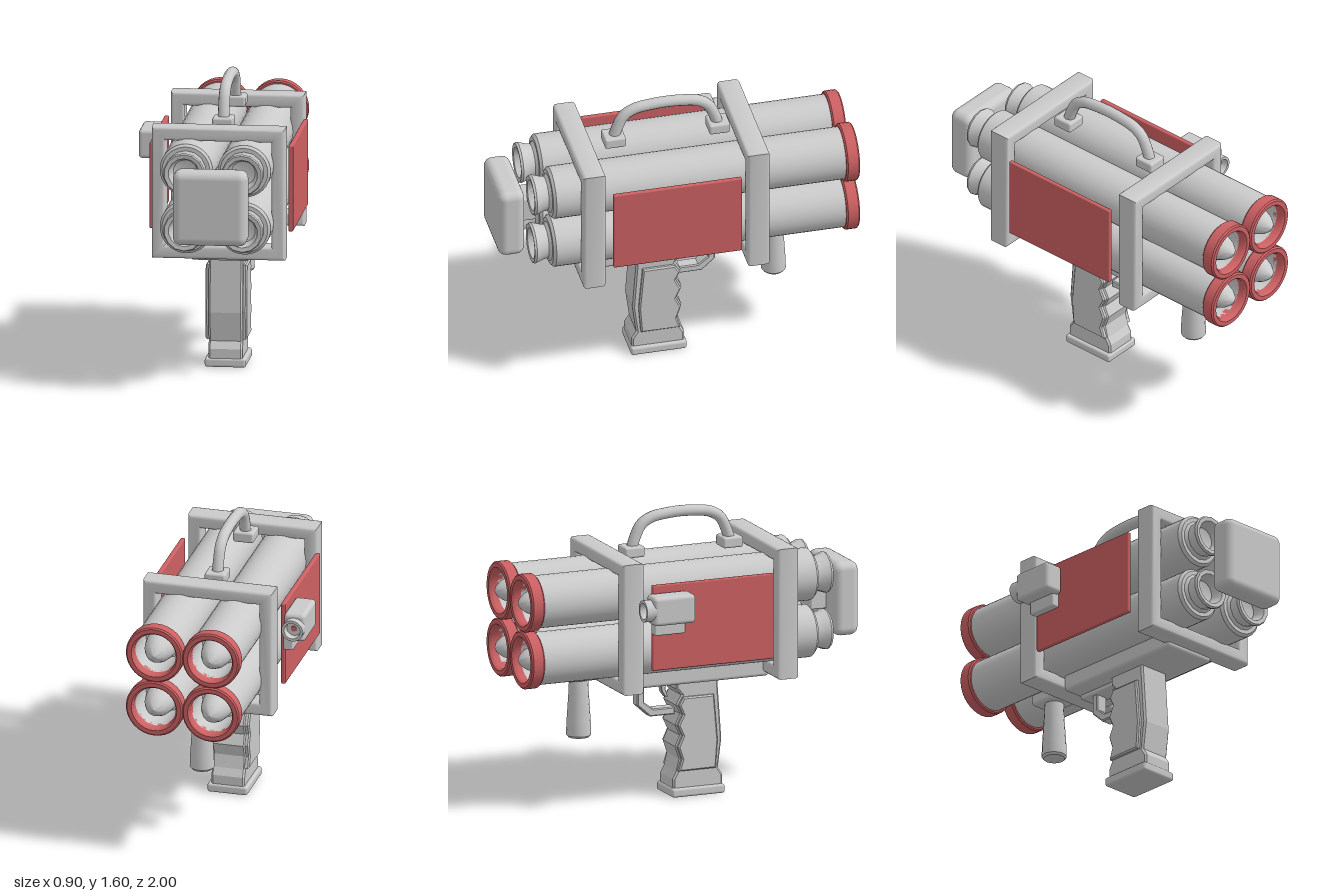
import * as THREE from 'three';
import { toCreasedNormals } from 'three/addons/utils/BufferGeometryUtils.js';
import { RoundedBoxGeometry } from 'three/addons/geometries/RoundedBoxGeometry.js';

const CX = 0.057; // centre line of the body
const CY = 1.028; // mid height of the four tubes

export function createModel() {
  const grey = new THREE.MeshStandardMaterial({ color: 0xcacaca });
  grey.name = 'lightGrey';
  const red = new THREE.MeshStandardMaterial({ color: 0xcc6062 });
  red.name = 'softRed';

  const model = new THREE.Group();
  model.name = 'launcher';

  const add = (name, geometry, material = grey, parent = model) => {
    const mesh = new THREE.Mesh(geometry, material);
    mesh.name = name;
    parent.add(mesh);
    return mesh;
  };

  // Rounded box from its minimum and maximum corners
  const box = (name, x, y, z, radius, material = grey) => {
    const g = new RoundedBoxGeometry(x[1] - x[0], y[1] - y[0], z[1] - z[0], 3, radius);
    g.translate((x[0] + x[1]) / 2, (y[0] + y[1]) / 2, (z[0] + z[1]) / 2);
    return add(name, g, material);
  };

  // Turned part along z from [radius, z] pairs
  const turned = (profile, sides) => {
    const g = new THREE.LatheGeometry(profile.map(([r, z]) => new THREE.Vector2(r, z)), sides);
    return toCreasedNormals(g.rotateX(Math.PI / 2), 0.6);
  };

  // Side outline of [-z, y] pairs, extruded across x around the centre line
  const sidePlate = (name, outline, width, bevel) => {
    const g = new THREE.ExtrudeGeometry(
      new THREE.Shape(outline.map(([a, y]) => new THREE.Vector2(a, y))),
      { depth: width - 2 * bevel, bevelEnabled: bevel > 0, bevelSize: bevel, bevelThickness: bevel,
        bevelOffset: -bevel, bevelSegments: 1 });
    g.translate(0, 0, bevel - width / 2).rotateY(Math.PI / 2).translate(CX, 0, 0);
    return add(name, g);
  };

  // Four tubes with flared nozzles, muzzle rings and rockets
  const tube = turned([[0, -0.72], [0.118, -0.72], [0.118, -0.93], [0.144, -0.93],
    [0.144, 0.705], [0.13, 0.72], [0, 0.72]], 32);
  const nozzle = turned([[0.115, 0.715], [0.094, 0.735], [0.1, 0.765], [0.114, 0.805],
    [0.108, 0.818], [0.085, 0.815], [0.066, 0.75], [0, 0.73]], 14);
  const ring = turned([[0.118, -0.905], [0.118, -0.965], [0.128, -0.98], [0.152, -0.98],
    [0.16, -0.972], [0.16, -0.913], [0.152, -0.905], [0.118, -0.905]], 32);
  const rocket = turned([[0, -1], [0.03, -0.982], [0.055, -0.95], [0.075, -0.9],
    [0.085, -0.84], [0.085, -0.715]], 24);
  for (const sx of [-1, 1]) for (const sy of [-1, 1]) {
    const barrel = new THREE.Group();
    barrel.name = 'barrel';
    barrel.position.set(CX + sx * 0.158, CY + sy * 0.158, 0);
    add('tube', tube, grey, barrel);
    add('nozzle', nozzle, grey, barrel);
    add('muzzleRing', ring, red, barrel);
    add('rocket', rocket, grey, barrel);
    model.add(barrel);
  }

  // Square frames that hold the tubes
  const square = (h, T) => new T([[-h, -h], [h, -h], [h, h], [-h, h]].map(([x, y]) => new THREE.Vector2(x, y)));
  const frameShape = square(0.363, THREE.Shape);
  frameShape.holes.push(square(0.288, THREE.Path));
  for (const z of [0.508, -0.405]) {
    const g = new THREE.ExtrudeGeometry(frameShape, {
      depth: 0.09, bevelSize: 0.018, bevelThickness: 0.018, bevelOffset: -0.018, bevelSegments: 3 });
    g.translate(CX, CY, z - 0.045);
    add('frame', toCreasedNormals(g, 0.7));
  }

  // Side panels
  for (const x of [-0.323, 0.434]) {
    box('sidePanel', [x - 0.013, x + 0.013], [0.795, 1.27], [-0.305, 0.41], 0.008, red);
  }

  // Front block and its stem
  box('frontBlock', [-0.145, 0.26], [0.825, 1.235], [0.855, 1], 0.045);
  box('frontStem', [-0.018, 0.13], [0.96, 1.1], [0.765, 0.87], 0.008);

  // Carrying handle
  const points = [[0.318, 1.38], [0.295, 1.45], [0.26, 1.515], [0.2, 1.55], [0.12, 1.563], [0.028, 1.568]];
  const path = points.concat(points.slice(0, -1).reverse().map(([z, y]) => [0.056 - z, y]));
  const curve = new THREE.CatmullRomCurve3(path.map(([z, y]) => new THREE.Vector3(CX, y, z)));
  add('carryHandle', new THREE.TubeGeometry(curve, 28, 0.031, 12));
  for (const z of [0.318, -0.262]) {
    box('handleFoot', [0, 0.115], [1.345, 1.405], [z - 0.058, z + 0.058], 0.012);
  }

  // Underside rail and pistol grip
  box('bottomRail', [-0.105, 0.22], [0.64, 0.765], [-0.33, 0.485], 0.02);
  sidePlate('grip', [[-0.238, 0.04], [0.055, 0.04], [0.055, 0.1], [0.033, 0.14], [0.016, 0.21],
    [0.04, 0.28], [0.012, 0.34], [0.04, 0.4], [0.01, 0.46], [0.035, 0.51], [0.004, 0.565],
    [0.035, 0.6], [0.035, 0.66], [-0.207, 0.66], [-0.233, 0.3], [-0.212, 0.14], [-0.238, 0.1]], 0.186, 0.01);
  sidePlate('gripPanels', [[-0.19, 0.145], [0.028, 0.145], [0.008, 0.21], [0.032, 0.28], [0.004, 0.34],
    [0.032, 0.4], [0.002, 0.46], [0.026, 0.51], [0, 0.555], [-0.18, 0.555], [-0.202, 0.3]], 0.226, 0.008);
  box('gripBase', [-0.055, 0.17], [0, 0.05], [-0.065, 0.245], 0.014);

  // Trigger and guard
  box('guardPlate', [0, 0.114], [0.618, 0.655], [-0.31, -0.06], 0.008);
  sidePlate('triggerGuard', [[0.02, 0.447], [0.165, 0.447], [0.24, 0.515], [0.24, 0.63],
    [0.2, 0.63], [0.2, 0.53], [0.145, 0.488], [0.02, 0.488]], 0.07, 0.006);
  sidePlate('trigger', [[0.052, 0.545], [0.07, 0.545], [0.09, 0.575], [0.098, 0.63],
    [0.06, 0.63], [0.068, 0.59]], 0.04, 0.004);

  // Forward grip under the muzzle end
  box('foregripMount', [-0.025, 0.139], [0.692, 0.8], [-0.67, -0.475], 0.02);
  const handGrip = new THREE.LatheGeometry([[0, 0.37], [0.058, 0.37], [0.068, 0.382], [0.066, 0.45],
    [0.055, 0.62], [0.052, 0.7]].map(([r, y]) => new THREE.Vector2(r, y)), 16);
  add('foregrip', toCreasedNormals(handGrip.translate(CX, 0, -0.572), 0.6));

  // Sight on the right side
  box('sightBody', [-0.455, -0.337], [1.07, 1.23], [-0.345, -0.1], 0.022);
  box('sightMount', [-0.38, -0.325], [1, 1.12], [-0.31, -0.13], 0.008);
  const eyepiece = turned([[0, -0.35], [0.04, -0.35], [0.045, -0.388], [0.06, -0.388],
    [0.06, -0.33], [0, -0.33]], 20);
  add('eyepiece', eyepiece.translate(-0.396, 1.15, 0));
  const dot = new THREE.CylinderGeometry(0.016, 0.016, 0.006, 12).rotateX(Math.PI / 2);
  add('sightDot', dot.translate(-0.396, 1.15, -0.352), red);

  return model;
}
